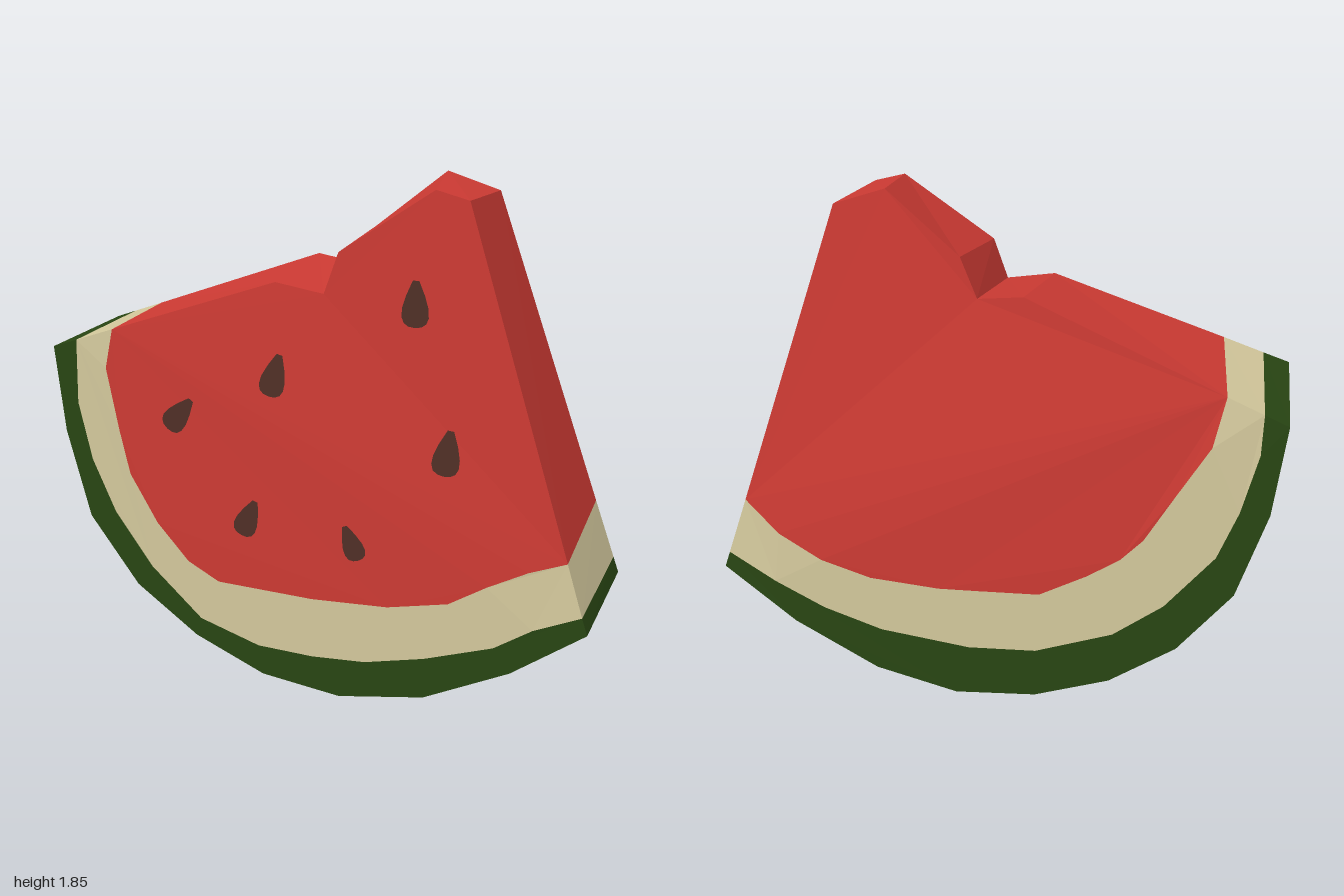
import * as THREE from 'three';

// Cut-face outlines, listed from the left end of the slice (-x) to the right end
const FRONT = {
  z: 0.27, slope: 0.07,
  skin: [[-0.97, 1.23], [-0.94, 0.92], [-0.86, 0.6], [-0.68, 0.35], [-0.45, 0.18], [-0.19, 0.065],
    [0.1, 0.025], [0.41, 0.075], [0.71, 0.22], [0.96, 0.4]],
  rindLine: [[-0.88, 1.259], [-0.885, 1.03], [-0.84, 0.82], [-0.757, 0.626], [-0.62, 0.43], [-0.43, 0.25],
    [-0.206, 0.176], [0, 0.166], [0.195, 0.176], [0.41, 0.225], [0.65, 0.305], [0.78, 0.39], [0.94, 0.46]],
  fleshLine: [[-0.74, 1.305], [-0.767, 1.166], [-0.725, 0.94], [-0.69, 0.78], [-0.59, 0.604], [-0.473, 0.47],
    [-0.356, 0.406], [0, 0.39], [0.275, 0.4], [0.49, 0.444], [0.62, 0.524], [0.757, 0.594], [0.882, 0.64]],
  top: [[-0.14, 1.5, 0.22], [0.03, 1.47, 0.218], [0.08, 1.61, 0.215], [0.4, 1.82, 0.21], [0.51, 1.79, 0.21]],
};
const BACK = {
  z: -0.27, slope: -0.15,
  skin: [[-1, 1.23], [-0.97, 0.91], [-0.88, 0.59], [-0.7, 0.34], [-0.47, 0.16], [-0.2, 0.045],
    [0.1, 0], [0.41, 0.055], [0.73, 0.21], [1, 0.41]],
  rindLine: [[-0.92, 1.258], [-0.92, 1.12], [-0.873, 0.906], [-0.81, 0.726], [-0.648, 0.507], [-0.476, 0.36],
    [-0.2, 0.24], [0.05, 0.21], [0.386, 0.23], [0.61, 0.29], [0.8, 0.375], [0.98, 0.47]],
  fleshLine: [[-0.8, 1.3], [-0.768, 1.128], [-0.663, 0.937], [-0.566, 0.756], [-0.49, 0.668], [-0.378, 0.585],
    [-0.21, 0.482], [0.01, 0.46], [0.16, 0.446], [0.42, 0.45], [0.61, 0.497], [0.775, 0.578], [0.907, 0.69]],
  top: [[-0.12, 1.54, -0.165], [0.04, 1.515, -0.15], [0.1, 1.65, -0.14], [0.36, 1.85, -0.11], [0.54, 1.79, -0.118]],
};

// The slice is thickest below the chord between its two rind tips and tapers above it
function lift(side) {
  const place = ([x, y, z]) => {
    const d = Math.max(0, (x + 1) * 0.379 + (y - 1.23) * 0.925);
    return new THREE.Vector3(x, y, z ?? side.z - side.slope * d);
  };
  const out = {};
  for (const k of ['skin', 'rindLine', 'fleshLine', 'top']) out[k] = side[k].map(place);
  return out;
}

const last = (a) => a[a.length - 1];

// Fill a flat outline, turned towards +z or -z
function fill(tris, outline, facing) {
  const flat = outline.map((p) => new THREE.Vector2(p.x, p.y));
  if (THREE.ShapeUtils.isClockWise(flat)) {
    flat.reverse();
    outline = [...outline].reverse();
  }
  for (const f of THREE.ShapeUtils.triangulateShape(flat, [])) {
    const [a, b, c] = f.map((i) => outline[i]);
    const area = (b.x - a.x) * (c.y - a.y) - (b.y - a.y) * (c.x - a.x);
    if (area * facing > 0) tris.push(a, b, c);
    else tris.push(a, c, b);
  }
}

function meshFrom(name, tris, material) {
  const geometry = new THREE.BufferGeometry().setFromPoints(tris);
  geometry.computeVertexNormals();
  const mesh = new THREE.Mesh(geometry, material);
  mesh.name = name;
  return mesh;
}

function makeMaterial(name, color) {
  const m = new THREE.MeshStandardMaterial({ color });
  m.name = name;
  return m;
}

export function createModel() {
  const group = new THREE.Group();
  group.name = 'watermelonSlice';
  const red = makeMaterial('fleshRed', 0xcc3a33);
  const cream = makeMaterial('pithCream', 0xd3c89c);
  const green = makeMaterial('rindGreen', 0x284513);
  const brown = makeMaterial('seedBrown', 0x4f2f26);

  const flesh = [], pith = [], rind = [];
  const front = lift(FRONT), back = lift(BACK);

  // Cut faces: rind band, pith band, lower and upper flesh
  for (const [s, facing] of [[front, 1], [back, -1]]) {
    fill(rind, [...s.skin, ...[...s.rindLine].reverse()], facing);
    fill(pith, [...s.rindLine, ...[...s.fleshLine].reverse()], facing);
    fill(flesh, s.fleshLine, facing);
    fill(flesh, [s.fleshLine[0], last(s.fleshLine), ...[...s.top].reverse()], facing);
  }

  // Edge running round the slice, joining front to back
  const rim = (s) => [...s.skin, last(s.rindLine), last(s.fleshLine),
    ...[...s.top].reverse(), s.fleshLine[0], s.rindLine[0]];
  const f = rim(front), b = rim(back), n = f.length, k = front.skin.length;
  for (let i = 0; i < n; i++) {
    const j = (i + 1) % n;
    const part = i < k || i === n - 1 ? rind : i === k || i === n - 2 ? pith : flesh;
    part.push(f[i], b[i], b[j], f[i], b[j], f[j]);
  }

  const fleshMesh = meshFrom('flesh', flesh, red);
  group.add(fleshMesh, meshFrom('pith', pith, cream), meshFrom('rind', rind, green));

  // Flat teardrop seeds lying on the front face: x, y, lean, scale
  const drop = new THREE.Shape();
  drop.moveTo(-0.012, 0.078);
  drop.lineTo(-0.035, 0.03);
  drop.bezierCurveTo(-0.07, -0.05, -0.045, -0.075, 0, -0.075);
  drop.bezierCurveTo(0.045, -0.075, 0.07, -0.05, 0.035, 0.03);
  drop.lineTo(0.012, 0.078);
  const ray = new THREE.Raycaster();
  const towardsBack = new THREE.Vector3(0, 0, -1);
  const seeds = [[0.345, 1.455, 0, 1], [-0.137, 1.185, -0.25, 0.98], [-0.49, 1.02, -0.7, 0.95],
    [0.468, 0.97, -0.12, 1.02], [-0.235, 0.665, -0.4, 0.93], [0.147, 0.62, 0.4, 0.85]];
  for (const [x, y, lean, size] of seeds) {
    const g = new THREE.ShapeGeometry(drop, 5);
    g.scale(size * 0.9, size, 1).rotateZ(lean).translate(x, y, 0);
    const p = g.attributes.position;
    for (let i = 0; i < p.count; i++) {
      ray.set(new THREE.Vector3(p.getX(i), p.getY(i), 1), towardsBack);
      const hit = ray.intersectObject(fleshMesh)[0];
      p.setZ(i, (hit ? hit.point.z : 0.26) + 0.005);
    }
    g.computeVertexNormals();
    const seed = new THREE.Mesh(g, brown);
    seed.name = 'seed';
    group.add(seed);
  }
  return group;
}
